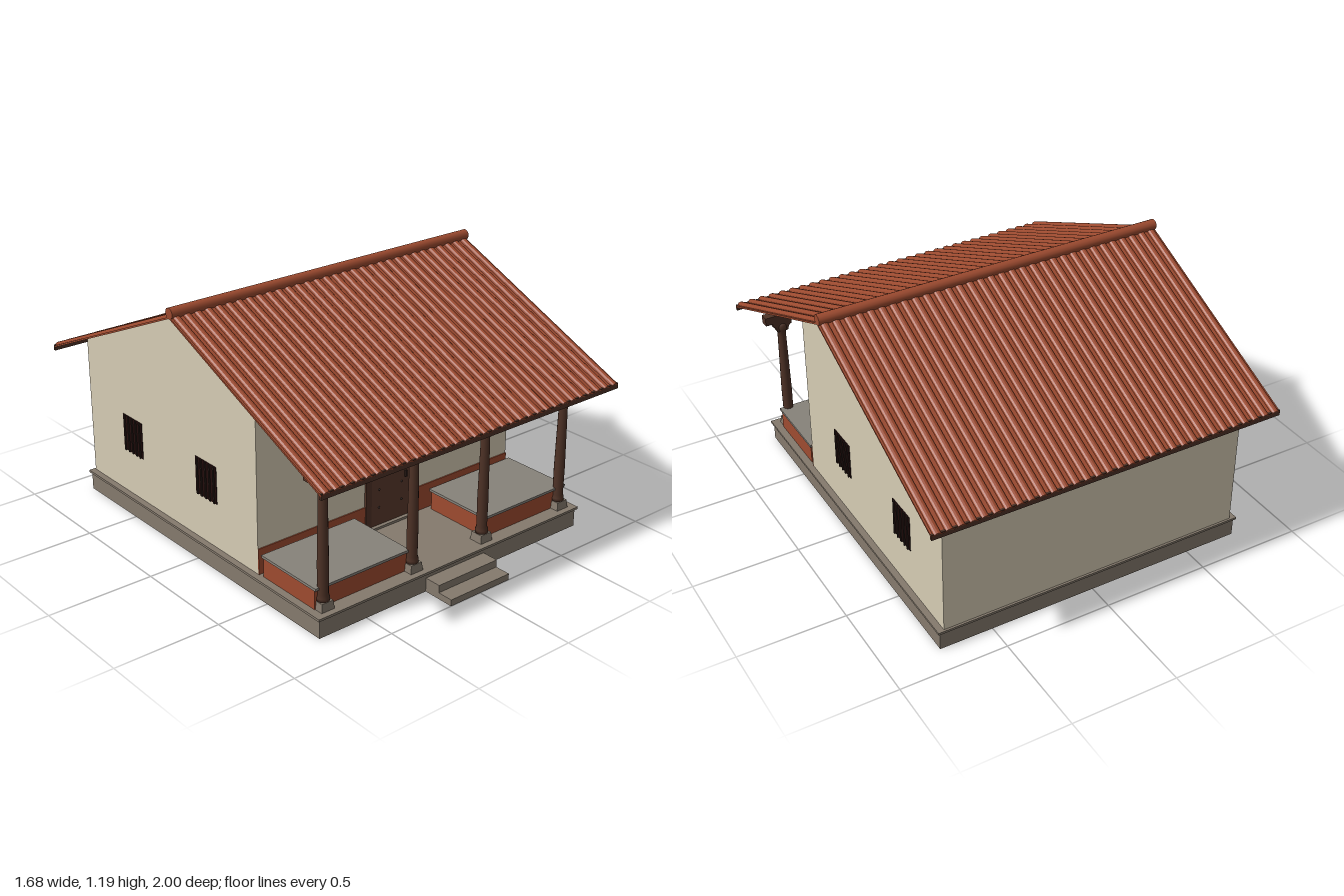
import * as THREE from 'three';

const mat = (name, color) => {
  const m = new THREE.MeshStandardMaterial({ color });
  m.name = name;
  return m;
};

export function createModel() {
  const plaster = mat('cream plaster', 0xd6ccb4);
  const tile = mat('terracotta tile', 0x9c4a2f);
  const redOxide = mat('red oxide paint', 0x9e4b30);
  const wood = mat('dark wood', 0x4e3226);
  const door = mat('door wood', 0x5a392b);
  const stone = mat('grey stone', 0x857a6d);
  const slab = mat('bench slab', 0x87827a);
  const dark = mat('window dark', 0x230d0c);
  const iron = mat('iron', 0x2a1c18);

  const house = new THREE.Group();
  house.name = 'house';

  const add = (name, geo, material, parent = house) => {
    const mesh = new THREE.Mesh(geo, material);
    mesh.name = name;
    parent.add(mesh);
    return mesh;
  };
  // Box given by its limits on each axis
  const box = (name, material, x0, x1, y0, y1, z0, z1, parent = house) => {
    const mesh = add(name, new THREE.BoxGeometry(x1 - x0, y1 - y0, z1 - z0), material, parent);
    mesh.position.set((x0 + x1) / 2, (y0 + y1) / 2, (z0 + z1) / 2);
    return mesh;
  };

  const RIDGE_Z = -0.016, RIDGE_Y = 1.15, SLOPE = 0.4365, HALF_W = 0.838;
  const FLOOR = 0.097, WALL_X = 0.73, WALL_F = 0.415, WALL_B = -0.875;

  // Plinth with projecting lip, and entrance steps
  box('plinth', stone, -0.75, 0.75, 0, 0.086, -0.877, 0.845);
  box('plinthLip', stone, -0.76, 0.76, 0.086, FLOOR, -0.885, 0.855);
  box('lowerStep', stone, -0.17, 0.17, 0, 0.03, 0.845, 1.0);
  box('upperStep', stone, -0.17, 0.17, 0.03, 0.065, 0.845, 0.925);

  // Walls: gabled cross-section swept along x
  const wallTop = z => RIDGE_Y - 0.008 - SLOPE * Math.abs(z - RIDGE_Z);
  const section = new THREE.Shape([
    [WALL_B, FLOOR], [WALL_F, FLOOR], [WALL_F, wallTop(WALL_F)],
    [RIDGE_Z, wallTop(RIDGE_Z)], [WALL_B, wallTop(WALL_B)],
  ].map(p => new THREE.Vector2(...p)));
  const wallGeo = new THREE.ExtrudeGeometry(section, { depth: WALL_X * 2, bevelEnabled: false });
  wallGeo.translate(0, 0, -WALL_X).rotateY(-Math.PI / 2);
  add('walls', wallGeo, plaster);
  box('paintedDado', redOxide, -WALL_X, WALL_X, FLOOR, 0.218, WALL_F, WALL_F + 0.005);

  // Roof halves: ribbed sheet profile swept down the slope
  const ROWS = 32, pitch = HALF_W * 2 / ROWS, rib = 0.017, ribHeight = 0.013, thick = 0.008;
  const top = [];
  for (let i = 0; i < ROWS; i++) {
    const cx = -HALF_W + (i + 0.5) * pitch;
    if (i === 0) top.push([-HALF_W, 0]);
    for (let k = 0; k <= 6; k++) {
      const a = Math.PI * (1 - k / 6);
      top.push([cx + rib * Math.cos(a), ribHeight * Math.sin(a)]);
    }
  }
  top.push([HALF_W, 0]);
  const under = top.map(([x, y]) => [x, y - thick]).reverse();
  const profile = new THREE.Shape([...top, ...under].map(p => new THREE.Vector2(...p)));
  const run = 0.983;
  const roofGeo = new THREE.ExtrudeGeometry(profile, { depth: run * Math.hypot(1, SLOPE), bevelEnabled: false });
  roofGeo.rotateX(Math.atan(SLOPE));
  for (const side of ['front', 'back']) {
    const half = new THREE.Group();
    half.name = side + 'Roof';
    half.position.set(0, RIDGE_Y, RIDGE_Z);
    if (side === 'back') half.rotation.y = Math.PI;
    house.add(half);
    add('roofTiles', roofGeo, tile, half);
    const eave = -run * SLOPE;
    box('fascia', wood, -HALF_W, HALF_W, eave - 0.02, eave + 0.006, run - 0.012, run - 0.001, half);
  }
  const ridge = add('ridgeCap', new THREE.CylinderGeometry(0.025, 0.025, HALF_W * 2, 14), tile);
  ridge.rotation.z = Math.PI / 2;
  ridge.position.set(0, 1.164, RIDGE_Z);

  // Porch beam and columns
  const COL_Z = 0.792;
  box('porchBeam', wood, -0.77, 0.77, 0.69, 0.73, COL_Z - 0.021, COL_Z + 0.021);
  const shaftGeo = new THREE.LatheGeometry([
    [0, 0.135], [0.029, 0.135], [0.029, 0.15], [0.024, 0.165], [0.025, 0.3], [0.02, 0.61],
    [0.021, 0.635], [0.028, 0.65], [0.028, 0.668], [0.021, 0.68], [0, 0.68],
  ].map(p => new THREE.Vector2(...p)), 12);
  const bracket = new THREE.Shape();
  bracket.moveTo(-0.046, 0.69);
  bracket.lineTo(-0.046, 0.672);
  bracket.quadraticCurveTo(-0.03, 0.668, -0.026, 0.64);
  bracket.lineTo(0.026, 0.64);
  bracket.quadraticCurveTo(0.03, 0.668, 0.046, 0.672);
  bracket.lineTo(0.046, 0.69);
  const bracketGeo = new THREE.ExtrudeGeometry(bracket, { depth: 0.04, bevelEnabled: false, curveSegments: 5 });
  bracketGeo.translate(0, 0, -0.02);
  const footGeo = new THREE.CylinderGeometry(0.042, 0.048, 0.038, 4, 1).toNonIndexed();
  footGeo.rotateY(Math.PI / 4);
  footGeo.computeVertexNormals();
  for (const x of [-0.688, -0.205, 0.205, 0.688]) {
    const column = new THREE.Group();
    column.name = 'column';
    column.position.set(x, 0, COL_Z);
    house.add(column);
    add('columnFoot', footGeo, stone, column).position.y = FLOOR + 0.019;
    add('columnShaft', shaftGeo, wood, column);
    add('columnBracket', bracketGeo, wood, column);
  }

  // Porch benches and side windows, mirrored
  for (const s of [-1, 1]) {
    const bx = (name, m, a, b, ...rest) => box(name, m, Math.min(s * a, s * b), Math.max(s * a, s * b), ...rest);
    bx('bench', redOxide, 0.23, 0.725, FLOOR, 0.187, 0.445, 0.785);
    bx('benchTop', slab, 0.222, 0.73, 0.187, 0.199, 0.438, 0.795);
    for (const z of [0.055, -0.517]) {
      bx('windowOpening', dark, WALL_X, WALL_X + 0.003, 0.312, 0.488, z - 0.076, z + 0.076);
      for (let i = 0; i < 5; i++) {
        const bz = z - 0.06 + i * 0.03;
        bx('windowBar', iron, WALL_X + 0.003, WALL_X + 0.009, 0.312, 0.488, bz - 0.004, bz + 0.004);
      }
    }
    bx('doorPost', wood, 0.112, 0.144, FLOOR, 0.55, WALL_F, 0.426);
    // Studs in a column on each door leaf
    for (let i = 0; i < 4; i++) {
      const stud = add('doorStud', new THREE.SphereGeometry(0.005, 8, 6), iron);
      stud.position.set(s * 0.066, 0.195 + i * 0.087, 0.422);
    }
  }

  // Door
  box('doorPanel', door, -0.112, 0.112, 0.107, 0.55, WALL_F, 0.422);
  box('doorLintel', wood, -0.157, 0.157, 0.55, 0.58, WALL_F, 0.43);
  box('threshold', stone, -0.144, 0.144, FLOOR, 0.108, WALL_F, 0.44);
  box('doorHandle', iron, 0.083, 0.094, 0.3, 0.33, 0.42, 0.43);

  return house;
}
